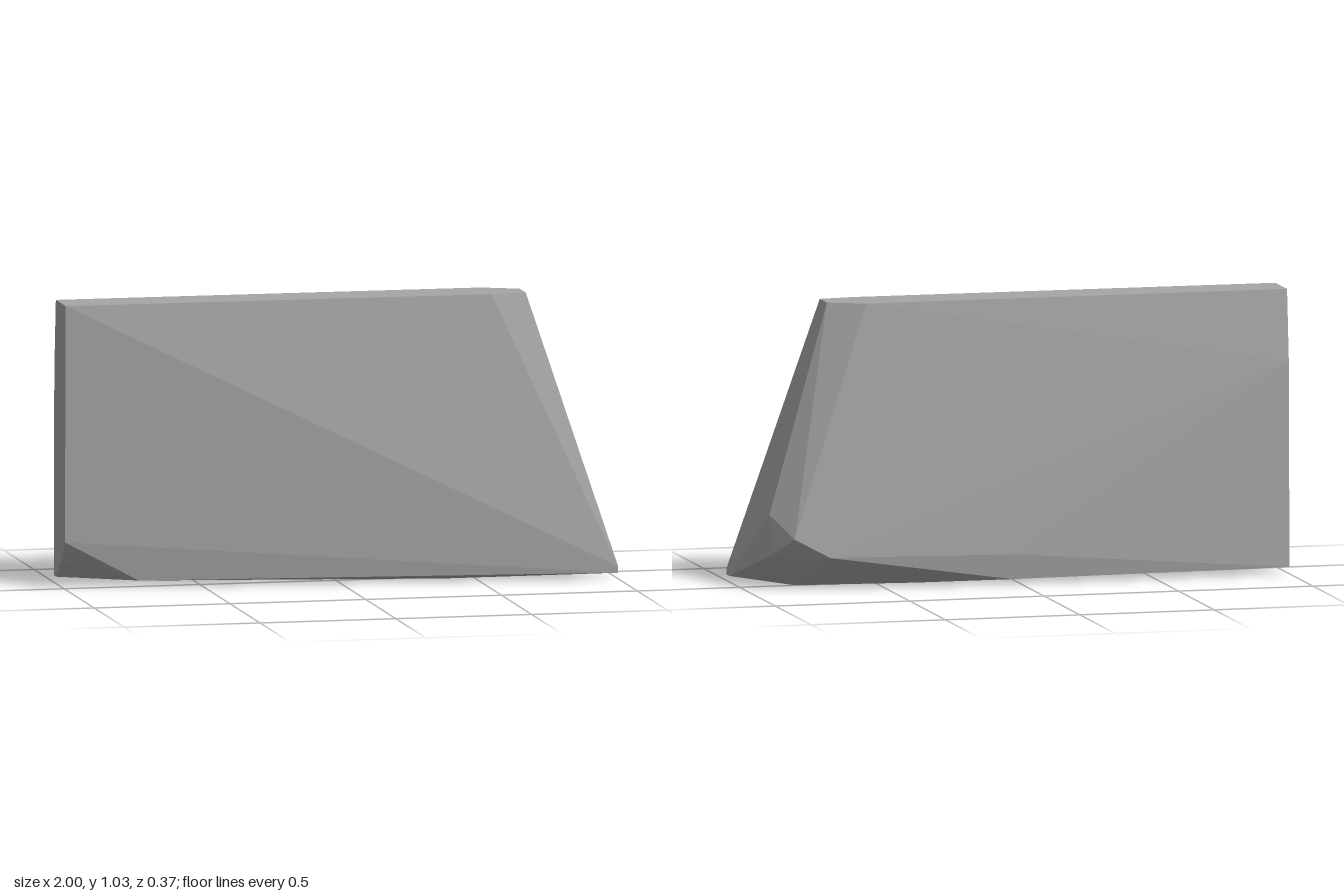
import * as THREE from 'three';
import { ConvexGeometry } from 'three/addons/geometries/ConvexGeometry.js';

// Corner points of the slab, grouped by region: [x, y, z]
const topRim = [
  [-1, 1.03, -0.138], [-1, 1.03, 0.025], [0.56, 1.03, 0.06],
  [0.69, 1.03, 0.045], [0.69, 1.03, -0.055], [0.56, 1.03, -0.115],
];
const cutEnd = [
  [-1, 0.77, -0.163], [-1, 0.025, -0.172], [-1, 0.025, -0.135],
  [-1, 0.09, -0.05], [-1, 0.17, 0.015],
];
const slopedEnd = [
  [1, 0.045, 0.183], [1, 0.022, 0.183], [1, 0.022, 0.14],
  [0.91, 0.27, -0.08], [0.91, 0.12, -0.08], [0.84, 0.19, -0.17],
];
const backBulge = [
  [0.71, 0.12, -0.18], [0.03, 0.11, -0.184], [0.03, 0.018, -0.172],
];
const underside = [
  [-0.73, 0.025, 0.025], [0.8, 0.003, -0.02],
  [0.4, 0, 0.04], [0.35, 0, -0.045],
];

export function createModel() {
  const group = new THREE.Group();
  group.name = 'brokenSlab';

  const stone = new THREE.MeshStandardMaterial({ color: 0xa6a6a6, flatShading: true });
  stone.name = 'grey stone';

  // One faceted convex block
  const points = [...topRim, ...cutEnd, ...slopedEnd, ...backBulge, ...underside]
    .map((p) => new THREE.Vector3(...p));
  const slab = new THREE.Mesh(new ConvexGeometry(points), stone);
  slab.name = 'slab';
  group.add(slab);
  return group;
}
